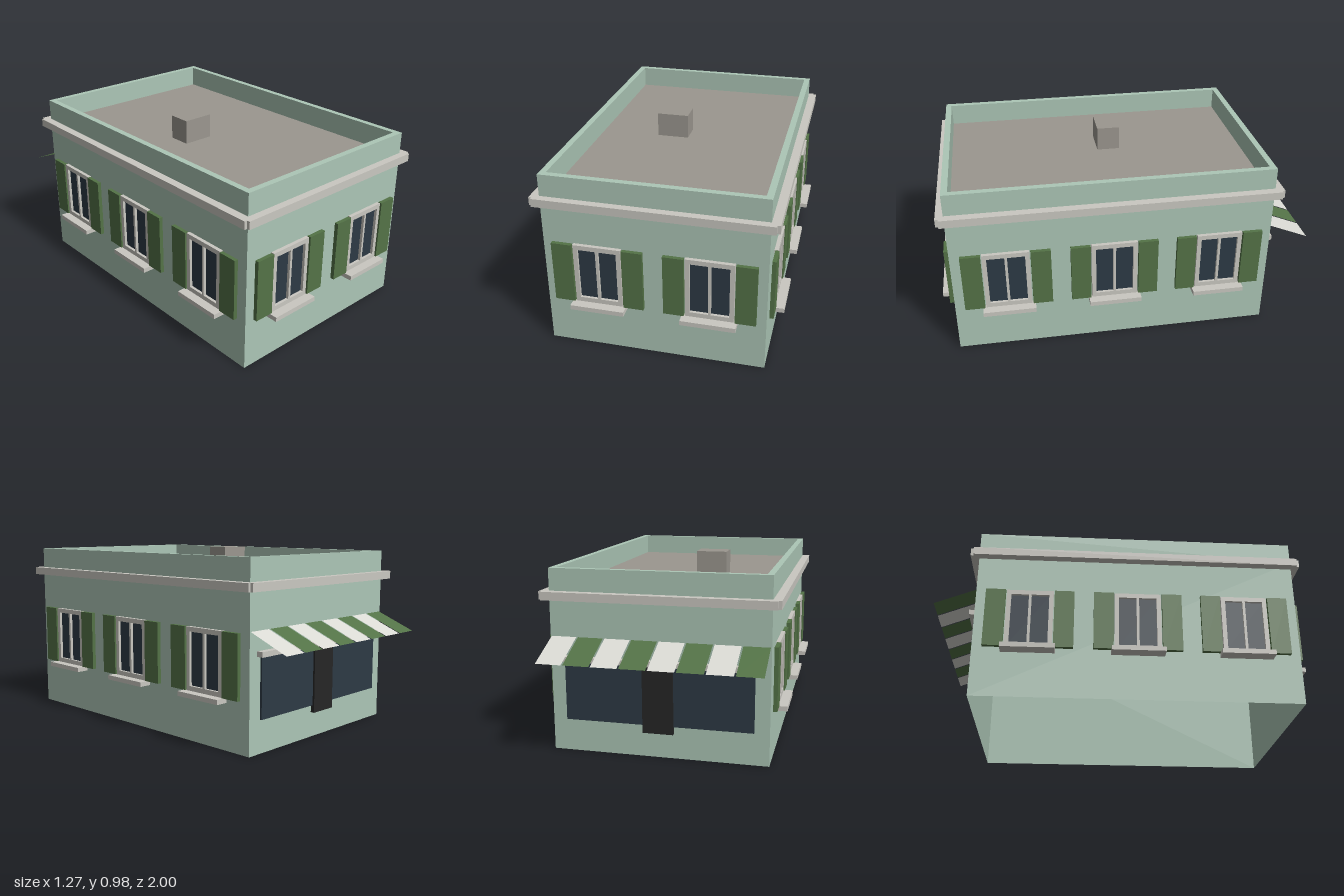
import * as THREE from 'three';

const mat = (name, color, side = THREE.FrontSide) => {
  const m = new THREE.MeshStandardMaterial({ color, side });
  m.name = name;
  return m;
};

// Main dimensions: half width, half depth, depth centre, roof deck height
const HX = 0.567, HZ = 0.857, CZ = 0.073, DECK = 0.843, TOP = 0.96;

export function createModel() {
  const D = THREE.DoubleSide;
  const M = {
    wall: mat('wall green', 0xacc6b6, D),
    trim: mat('stone trim', 0xcac8c1),
    green: mat('leaf green', 0x547347, D),
    white: mat('awning white', 0xdadad4, D),
    roof: mat('roof grey', 0x9b978f, D),
    glass: mat('dark glass', 0x2d3a45),
    door: mat('door black', 0x262626),
  };

  const add = (parent, name, geo, material, x = 0, y = 0, z = 0) => {
    const mesh = new THREE.Mesh(geo, material);
    mesh.name = name;
    mesh.position.set(x, y, z);
    parent.add(mesh);
    return mesh;
  };
  // Box given by its minimum and maximum corners
  const box = (parent, name, material, x0, x1, y0, y1, z0, z1) =>
    add(parent, name, new THREE.BoxGeometry(x1 - x0, y1 - y0, z1 - z0), material,
      (x0 + x1) / 2, (y0 + y1) / 2, (z0 + z1) / 2);

  const rect = (x0, x1, y0, y1) => [[x0, y0], [x1, y0], [x1, y1], [x0, y1]].map(p => new THREE.Vector2(...p));
  const extrude = (outer, holes, depth) => {
    const s = new THREE.Shape(outer);
    s.holes = holes.map(h => new THREE.Path(h));
    return new THREE.ExtrudeGeometry(s, { depth, bevelEnabled: false });
  };
  // Horizontal ring around the building
  const ring = (outer, ix, iz, h) => extrude(outer, [rect(-ix, ix, -iz, iz)], h).rotateX(-Math.PI / 2);

  const model = new THREE.Group();
  model.name = 'shopBuilding';

  // Walls, open underneath
  for (let i = 0; i < 4; i++) {
    const side = i % 2 === 1;
    const geo = new THREE.PlaneGeometry(side ? 2 * HZ : 2 * HX, DECK).translate(0, DECK / 2, side ? HX : HZ);
    add(model, 'wall', geo, M.wall, 0, 0, CZ).rotation.y = i * Math.PI / 2;
  }

  // Parapet, roof deck and roof box
  add(model, 'parapet', ring(rect(-HX, HX, -HZ, HZ), 0.534, 0.824, TOP - DECK), M.wall, 0, DECK, CZ);
  add(model, 'roofDeck', new THREE.PlaneGeometry(1.07, 1.65).rotateX(-Math.PI / 2), M.roof, 0, DECK, CZ);
  box(model, 'roofBox', M.roof, -0.21, -0.036, DECK, 0.975, -0.055, 0.071);

  // Cornice with notched corners
  const ox = 0.612, oz = 0.899, n = 0.016;
  const cornice = [
    [-ox, -oz + n], [-ox + n, -oz + n], [-ox + n, -oz], [ox - n, -oz], [ox - n, -oz + n], [ox, -oz + n],
    [ox, oz - n], [ox - n, oz - n], [ox - n, oz], [-ox + n, oz], [-ox + n, oz - n], [-ox, oz - n],
  ].map(p => new THREE.Vector2(...p));
  add(model, 'cornice', ring(cornice, 0.54, 0.83, 0.043), M.trim, 0, 0.801, 0.071);

  // Shuttered window, facing +z with its back on z = 0
  const frameGeo = extrude(rect(-0.123, 0.123, 0.27, 0.6),
    [rect(-0.1, -0.007, 0.295, 0.575), rect(0.007, 0.1, 0.295, 0.575)], 0.02);
  const addWindow = (x, z, turn) => {
    const w = new THREE.Group();
    w.name = 'window';
    add(w, 'windowFrame', frameGeo, M.trim, 0, 0, 0.001);
    add(w, 'windowGlass', new THREE.PlaneGeometry(0.21, 0.29), M.glass, 0, 0.435, 0.006);
    box(w, 'windowSill', M.trim, -0.14, 0.14, 0.245, 0.27, 0.001, 0.069);
    for (const s of [-1, 1]) {
      add(w, 'shutter', new THREE.BoxGeometry(0.105, 0.33, 0.021), M.green, s * 0.181, 0.435, 0.0165);
    }
    w.position.set(x, 0, z);
    w.rotation.y = turn;
    model.add(w);
  };
  for (const s of [-1, 1]) {
    addWindow(s * 0.285, CZ + HZ, 0);
    for (const z of [0.643, 0.073, -0.497]) addWindow(s * HX, z, s * Math.PI / 2);
  }

  // Shop front on the back wall
  const back = CZ - HZ;
  box(model, 'shopWindow', M.glass, -0.49, 0.49, 0.172, 0.485, back - 0.012, back - 0.001);
  box(model, 'shopDoor', M.door, -0.08, 0.08, 0.133, 0.485, back - 0.022, back - 0.001);
  box(model, 'shopLintel', M.trim, -0.515, 0.515, 0.485, 0.512, back - 0.036, back - 0.001);

  // Striped awning sloping out from the back wall
  const drop = 0.09, reach = 1 + back;
  for (let i = 0; i < 8; i++) {
    const geo = new THREE.PlaneGeometry(0.133, Math.hypot(drop, reach));
    geo.rotateX(-Math.PI / 2 - Math.atan2(drop, reach));
    add(model, 'awningStripe', geo, i % 2 ? M.white : M.green,
      -0.4945 + i * 0.1413, 0.565, (back - 1) / 2);
  }

  return model;
}
